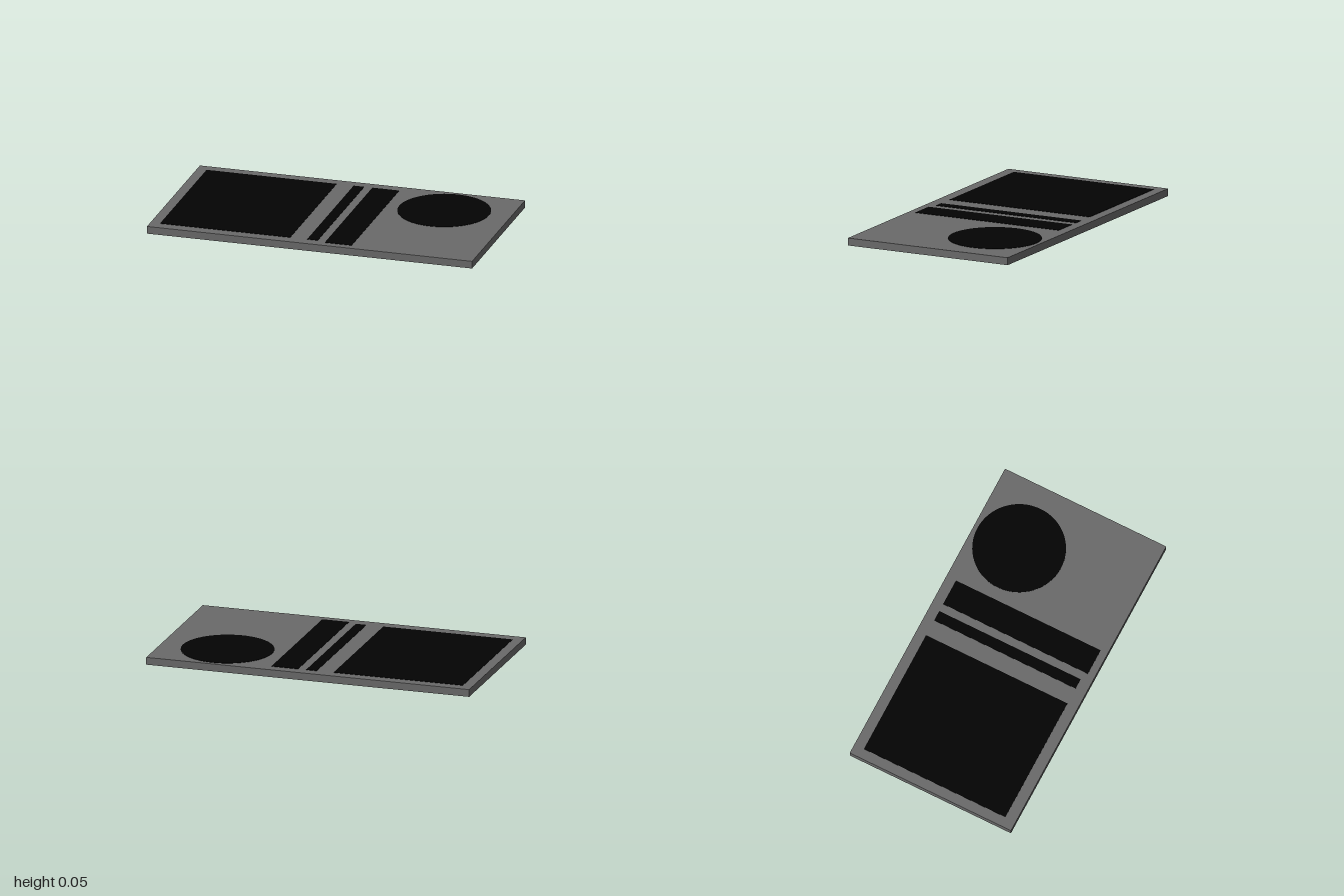
import * as THREE from 'three';

const PLATE_TOP = 0.045;
const INLAY = 0.002; // how far the dark panels stand above the plate

export function createModel() {
  const group = new THREE.Group();
  const grey = new THREE.MeshStandardMaterial({ color: 0x6a6a6a });
  const black = new THREE.MeshStandardMaterial({ color: 0x030303 });

  const add = (name, geometry, material, x, y, z) => {
    const mesh = new THREE.Mesh(geometry, material);
    mesh.name = name;
    mesh.position.set(x, y, z);
    group.add(mesh);
  };

  // Flat base plate
  add('basePlate', new THREE.BoxGeometry(2, PLATE_TOP, 1.066), grey, 0, PLATE_TOP / 2, 0);

  // Rectangular dark panels: name, x range, z range
  const panels = [
    ['largePanel', -0.94, -0.14, -0.47, 0.465],
    ['narrowStrip', -0.035, 0.03, -0.47, 0.465],
    ['wideStrip', 0.08, 0.245, -0.47, 0.487],
  ];
  for (const [name, x0, x1, z0, z1] of panels) {
    add(name, new THREE.BoxGeometry(x1 - x0, INLAY, z1 - z0), black,
      (x0 + x1) / 2, PLATE_TOP + INLAY / 2, (z0 + z1) / 2);
  }

  // Round dark panel
  add('roundPanel', new THREE.CylinderGeometry(0.276, 0.276, INLAY, 64), black,
    0.595, PLATE_TOP + INLAY / 2, -0.232);

  return group;
}
